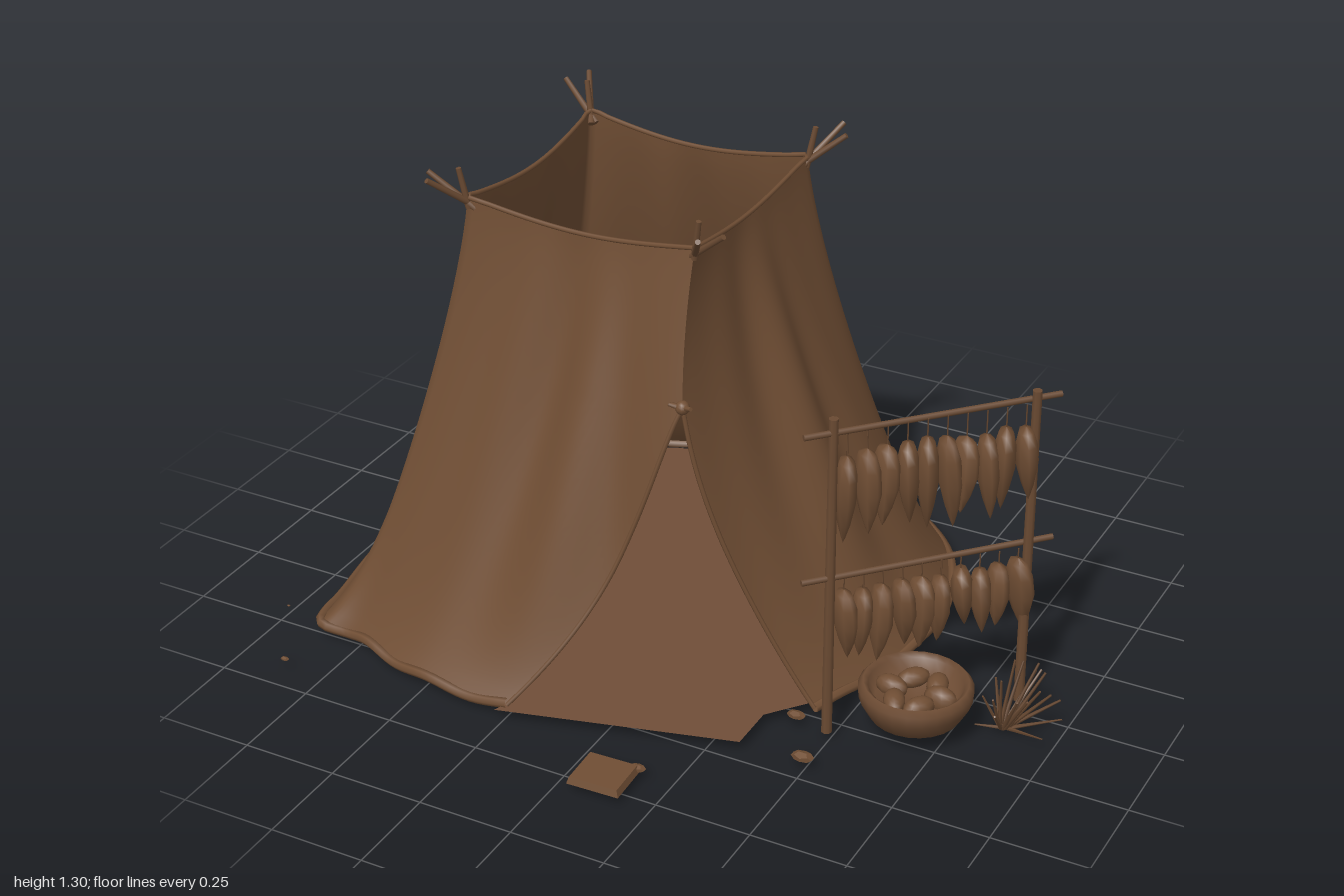
import * as THREE from 'three';

const mat = (name, color, side = THREE.FrontSide) => {
  const m = new THREE.MeshStandardMaterial({ color, side });
  m.name = name;
  return m;
};

export function createModel() {
  const model = new THREE.Group();
  const canvas = mat('brown canvas', 0x704e34, THREE.DoubleSide);
  const ground = mat('floor brown', 0x704e38, THREE.DoubleSide);
  const wood = mat('wood brown', 0x6a4a32);
  const dried = mat('dried food brown', 0x704e34);
  const clay = mat('clay brown', 0x6c4b33, THREE.DoubleSide);
  const flat = dried.clone();
  flat.name = 'stone brown';
  flat.flatShading = true;

  let seed = 7;
  const rnd = (a, b) => {
    seed = (seed * 16807) % 2147483647;
    return a + (b - a) * (seed / 2147483647);
  };
  const V = (x, y, z) => new THREE.Vector3(x, y, z);
  const add = (name, geo, material, parent = model) => {
    const m = new THREE.Mesh(geo, material);
    m.name = name;
    parent.add(m);
    return m;
  };
  const group = (name) => {
    const g = new THREE.Group();
    g.name = name;
    model.add(g);
    return g;
  };
  // Round stick between two points
  const stick = (name, a, b, r0, r1, material, parent, sides = 7) => {
    const m = add(name, new THREE.CylinderGeometry(r1, r0, a.distanceTo(b), sides), material, parent);
    m.position.copy(a).lerp(b, 0.5);
    m.quaternion.setFromUnitVectors(V(0, 1, 0), b.clone().sub(a).normalize());
    return m;
  };

  // Tent: a square top rim draped to a wavy ground outline, split at the door corner
  const outline = new THREE.CatmullRomCurve3([
    [0.35, 0.42], [0.43, 0.26], [0.5, 0.05], [0.54, -0.2], [0.5, -0.43],
    [0.37, -0.64], [0.15, -0.76], [-0.1, -0.775], [-0.38, -0.795], [-0.62, -0.71],
    [-0.81, -0.59], [-0.87, -0.42], [-0.91, -0.27], [-0.945, -0.05], [-0.93, 0.22],
    [-0.84, 0.46], [-0.7, 0.53], [-0.5, 0.59], [-0.25, 0.6], [0.05, 0.52],
  ].map(([x, z]) => V(x, 0.035, z)), true);
  const corners = [V(0.1, 1.22, 0.26), V(0.1, 1.22, -0.34), V(-0.52, 1.22, -0.34), V(-0.52, 1.22, 0.26)];
  const topPoint = (u) => {
    const k = Math.min(3, Math.floor(u * 4)), f = u * 4 - k, sag = Math.sin(Math.PI * f);
    const p = corners[k].clone().lerp(corners[(k + 1) % 4], f);
    p.y -= 0.035 * sag;
    p.x += (-0.21 - p.x) * 0.03 * sag;
    p.z += (-0.04 - p.z) * 0.03 * sag;
    return p;
  };
  const apex = 0.32;
  const bump = (d, w) => Math.exp(-((d / w) ** 2));
  const tentPoint = (s, t) => {
    // The door widens from its apex down to the ground
    const open = Math.max(0, (t - apex) / (1 - apex)) ** 0.9;
    let u = s;
    if (s < 0.25) u = 0.05 * open + s * (1 - 0.2 * open);
    else if (s > 0.75) u = 0.75 + (s - 0.75) * (1 - 0.4 * open);
    const top = topPoint(u), base = outline.getPoint(u % 1);
    // The cloth flares where it meets the ground
    const f = 0.92 * t ** 1.3 + 0.08 * t ** 10;
    const p = V(top.x + (base.x - top.x) * f, top.y + (base.y - top.y) * t, top.z + (base.z - top.z) * f);
    // Soft pleats, and cloth pulled forward at the door tie
    const mid = Math.sin(Math.PI * t);
    const fold = mid * Math.abs(Math.sin(Math.PI * 4 * u)) *
      (0.016 * Math.sin(u * 56 + 1.5 * t) + 0.009 * Math.sin(u * 97 + 2));
    p.addScaledVector(V(base.x + 0.21, 0, base.z + 0.05).normalize(), fold);
    const near = bump(Math.min(u, 1 - u), 0.06) * mid;
    p.x -= 0.05 * near;
    p.z += 0.06 * near;
    // Pegged-out points of the hem on the two far corners
    const spread = t ** 10;
    p.x -= spread * (0.09 * bump(u - 0.5, 0.016) + 0.03 * bump(u - 0.75, 0.016));
    p.z += spread * (0.045 * bump(u - 0.75, 0.016) - 0.015 * bump(u - 0.5, 0.016));
    return p;
  };
  const cols = 160, rows = 40, pos = [], idx = [];
  for (let j = 0; j <= rows; j++) {
    for (let i = 0; i <= cols; i++) {
      pos.push(...tentPoint(i / cols, j / rows).toArray());
      if (i < cols && j < rows) {
        const a = j * (cols + 1) + i, b = a + cols + 1;
        idx.push(a, b, a + 1, b, b + 1, a + 1);
      }
    }
  }
  const cloth = new THREE.BufferGeometry();
  cloth.setAttribute('position', new THREE.Float32BufferAttribute(pos, 3));
  cloth.setIndex(idx);
  cloth.computeVertexNormals();
  add('tentCloth', cloth, canvas);

  // Rolled hem, door edges and top rim
  const roll = (name, fn, n, r) => add(name, new THREE.TubeGeometry(
    new THREE.CatmullRomCurve3(Array.from({ length: n + 1 }, (_, i) => fn(i / n))), n * 2, r, 6), canvas);
  roll('hem', (s) => tentPoint(s, 1).add(V(0, 0.006 * Math.sin(s * 70), 0)), 100, 0.013);
  roll('topRim', topPoint, 48, 0.006);
  for (const s of [0, 1]) roll('doorEdge', (v) => tentPoint(s, apex + v * (1 - apex)), 20, 0.006);

  // Tie at the top of the door
  const tie = tentPoint(0, apex);
  add('doorKnot', new THREE.SphereGeometry(0.018, 10, 8), canvas).position.copy(tie);
  for (const dx of [-0.03, 0.03])
    stick('doorTie', tie, tie.clone().add(V(dx, 0.01, 0.015)), 0.009, 0.005, canvas, model);

  // Floor sheet with a corner reaching out of the door
  const floorPts = [];
  for (let i = 0; i <= 50; i++) {
    const p = outline.getPoint(0.05 + 0.85 * i / 50);
    floorPts.push(new THREE.Vector2(-0.21 + (p.x + 0.21) * 0.96, -0.05 + (p.z + 0.05) * 0.96));
  }
  floorPts.push(new THREE.Vector2(-0.27, 0.63), new THREE.Vector2(0.33, 0.47), new THREE.Vector2(0.33, 0.34));
  add('floorSheet', new THREE.ShapeGeometry(new THREE.Shape(floorPts)).rotateX(Math.PI / 2), ground)
    .position.y = 0.032;

  // Pole tips fanning out of the four corners
  const tips = group('poleTips');
  for (const c of corners) {
    const sx = Math.sign(c.x + 0.21), sz = Math.sign(c.z + 0.04);
    for (const [dx, dy, dz] of [[0.09, 0.06, 0.03], [0.055, 0.065, 0.09], [0.015, 0.075, 0.01]])
      stick('poleTip', V(c.x - sx * dx * 0.2, 1.19, c.z - sz * dz * 0.2),
        V(c.x + sx * dx, 1.22 + dy, c.z + sz * dz), 0.009, 0.007, wood, tips);
  }

  // Drying rack
  const rack = group('dryingRack');
  const A = V(0.49, 0, 0.315), B = V(0.855, 0, -0.03);
  const along = (f, y) => A.clone().lerp(B, f).setY(y);
  for (const f of [0, 1]) stick('rackPost', along(f, 0.02), along(f, 0.895), 0.014, 0.012, wood, rack, 8);
  for (const y of [0.86, 0.465]) stick('rackBar', V(0.44, y - 0.002, 0.37), V(0.89, y + 0.002, -0.1), 0.008, 0.008, wood, rack);

  // Dried strips hanging in two rows
  const strip = new THREE.LatheGeometry(
    [[0, -1], [0.2, -0.93], [0.6, -0.75], [1, -0.48], [0.95, -0.22], [0.65, -0.06], [0, 0]]
      .map(([x, y]) => new THREE.Vector2(x, y)), 8);
  const turn = Math.atan2(A.z - B.z, B.x - A.x);
  for (const [bar, top, len] of [[0.86, 0.81, 0.23], [0.465, 0.435, 0.195]]) {
    for (let i = 0; i < 10; i++) {
      const m = add('driedStrip', strip, dried, rack);
      m.position.copy(along(0.07 + i * 0.098, top + rnd(-0.02, 0.005)));
      m.rotation.set(rnd(-0.1, 0.1), turn + rnd(-0.4, 0.4), rnd(-0.1, 0.1));
      m.scale.set(0.028, len * rnd(0.85, 1.15), 0.046);
      stick('hangingString', m.position.clone(), m.position.clone().setY(bar), 0.002, 0.002, wood, rack, 4);
    }
  }

  // Bowl with lumps of food
  const bowl = group('bowl');
  bowl.position.set(0.67, 0, 0.19);
  add('bowlShell', new THREE.LatheGeometry(
    [[0, 0.025], [0.07, 0.03], [0.115, 0.06], [0.14, 0.105], [0.143, 0.135], [0.13, 0.15], [0.118, 0.14], [0.1, 0.105], [0, 0.095]]
      .map(([x, y]) => new THREE.Vector2(x, y)), 24), clay, bowl);
  for (let i = 0; i < 6; i++) {
    const lump = add('foodLump', new THREE.SphereGeometry(0.04, 10, 8), dried, bowl);
    lump.position.set(0.065 * Math.cos(i * 1.05), 0.115, 0.065 * Math.sin(i * 1.05));
    lump.scale.set(1.1, rnd(0.6, 1), 0.7);
    lump.rotation.y = i;
  }

  // Grass tuft
  const tuft = group('grassTuft');
  for (let i = 0; i < 16; i++) {
    const a = i * 2.4, r = rnd(0.05, 0.13), h = 0.24 - r * 1.1;
    stick('grassBlade', V(0.86 + 0.01 * Math.cos(a), 0.008, 0.08 + 0.01 * Math.sin(a)),
      V(0.9 + r * Math.cos(a) * 0.75, h, 0.07 + r * Math.sin(a)), 0.006, 0.003, wood, tuft, 4);
  }
  for (const [x, y, z] of [[1, 0.055, 0.05], [0.98, 0.04, 0.13], [0.8, 0.02, 0.12]])
    stick('lyingBlade', V(0.87, 0.006, 0.08), V(x, y, z), 0.006, 0.002, wood, tuft, 4);

  // Flat slab and scattered chips
  const slab = add('flatStone', new THREE.CylinderGeometry(0.09, 0.098, 0.018, 4).rotateY(Math.PI / 4 + 0.04), flat);
  slab.position.set(0.1, 0.03, 0.735);
  slab.scale.z = 0.88;
  for (const [x, z, r] of [[0.16, 0.675, 0.022], [0.49, 0.45, 0.03], [0.4, 0.3, 0.025], [-0.86, 0.68, 0.012], [-0.995, 0.47, 0.005]]) {
    const chip = add('stoneChip', new THREE.DodecahedronGeometry(r), flat);
    chip.position.set(x, 0.03, z);
    chip.scale.set(1, 0.4, 0.65);
  }
  return model;
}
